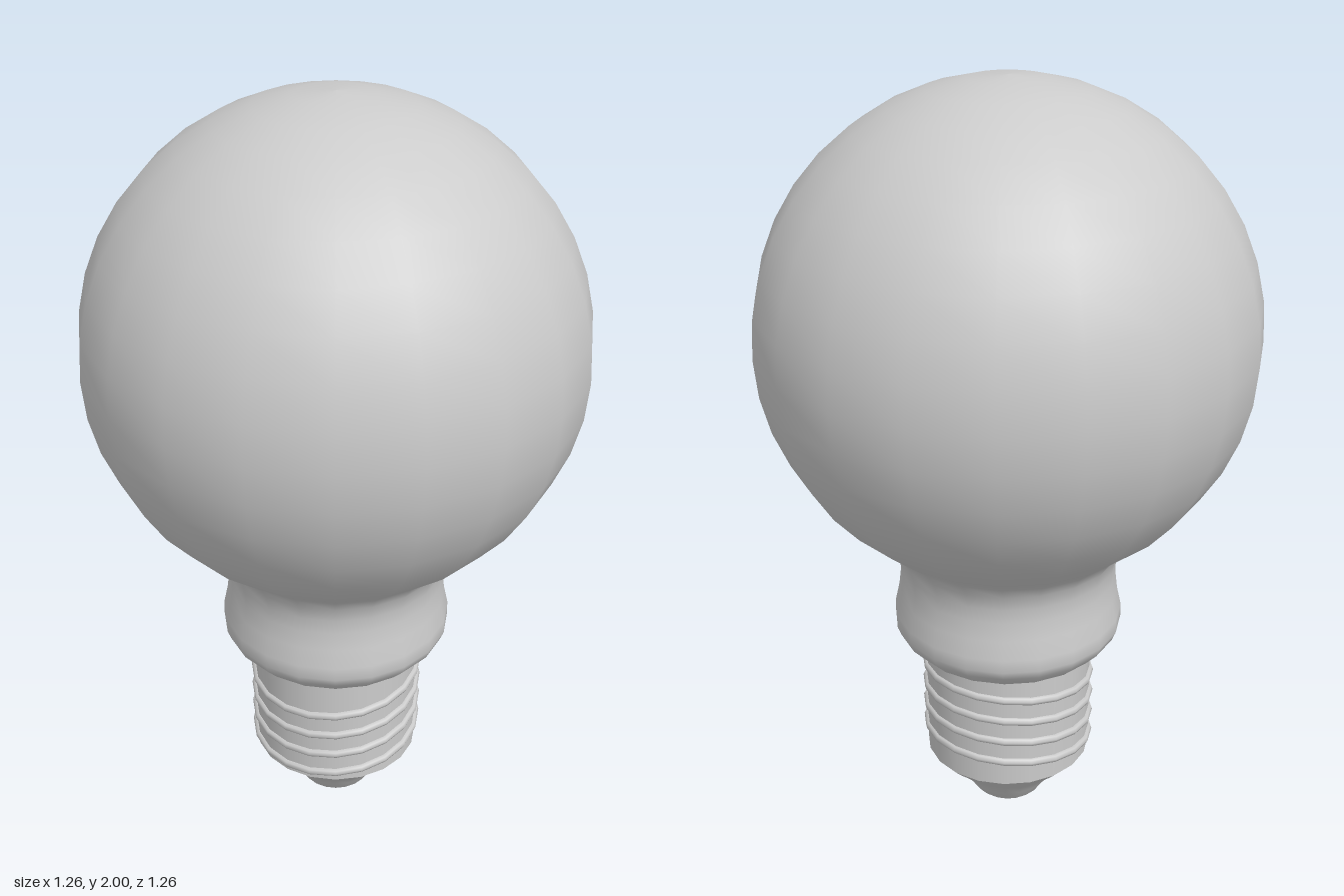
import * as THREE from 'three';

const SIDES = 20;

export function createModel() {
  const model = new THREE.Group();
  const material = new THREE.MeshStandardMaterial({ color: 0xcccccc });

  const add = (name, geometry) => {
    const mesh = new THREE.Mesh(geometry, material);
    mesh.name = name;
    model.add(mesh);
    return mesh;
  };
  // Profiles are [radius, height] pairs, listed from bottom to top
  const lathe = (name, profile) =>
    add(name, new THREE.LatheGeometry(profile.map(([r, y]) => new THREE.Vector2(r, y)), SIDES));

  // Glass: a flared collar and waist running into a sphere
  const radius = 0.632, centre = 2 - radius;
  const glass = [
    [0.225, 0.48], [0.262, 0.505], [0.295, 0.54], [0.305, 0.565], [0.304, 0.6],
    [0.293, 0.65], [0.287, 0.7], [0.288, 0.74], [0.297, 0.78], [0.32, 0.815],
  ];
  const start = -0.96, steps = 16;
  for (let i = 0; i <= steps; i++) {
    const a = THREE.MathUtils.lerp(start, Math.PI / 2, i / steps);
    glass.push([Math.max(0, radius * Math.cos(a)), centre + radius * Math.sin(a)]);
  }
  lathe('glassBulb', glass);

  // Screw base
  lathe('baseSleeve', [[0.225, 0.16], [0.225, 0.48]]);

  // Thread: evenly spaced rings, tilted so they read as a screw
  for (let i = 0; i < 4; i++) {
    const ring = add('threadRing', new THREE.TorusGeometry(0.224, 0.012, 8, SIDES));
    ring.rotation.x = Math.PI / 2 + 0.127;
    ring.position.y = 0.21 + i * 0.065;
  }

  // Concave insulator and flat bottom contact
  lathe('baseTip', [
    [0.082, 0], [0.095, 0.012], [0.116, 0.045], [0.14, 0.077], [0.17, 0.107], [0.2, 0.135], [0.225, 0.16],
  ]);
  lathe('bottomContact', [[0, 0], [0.082, 0]]);

  return model;
}
